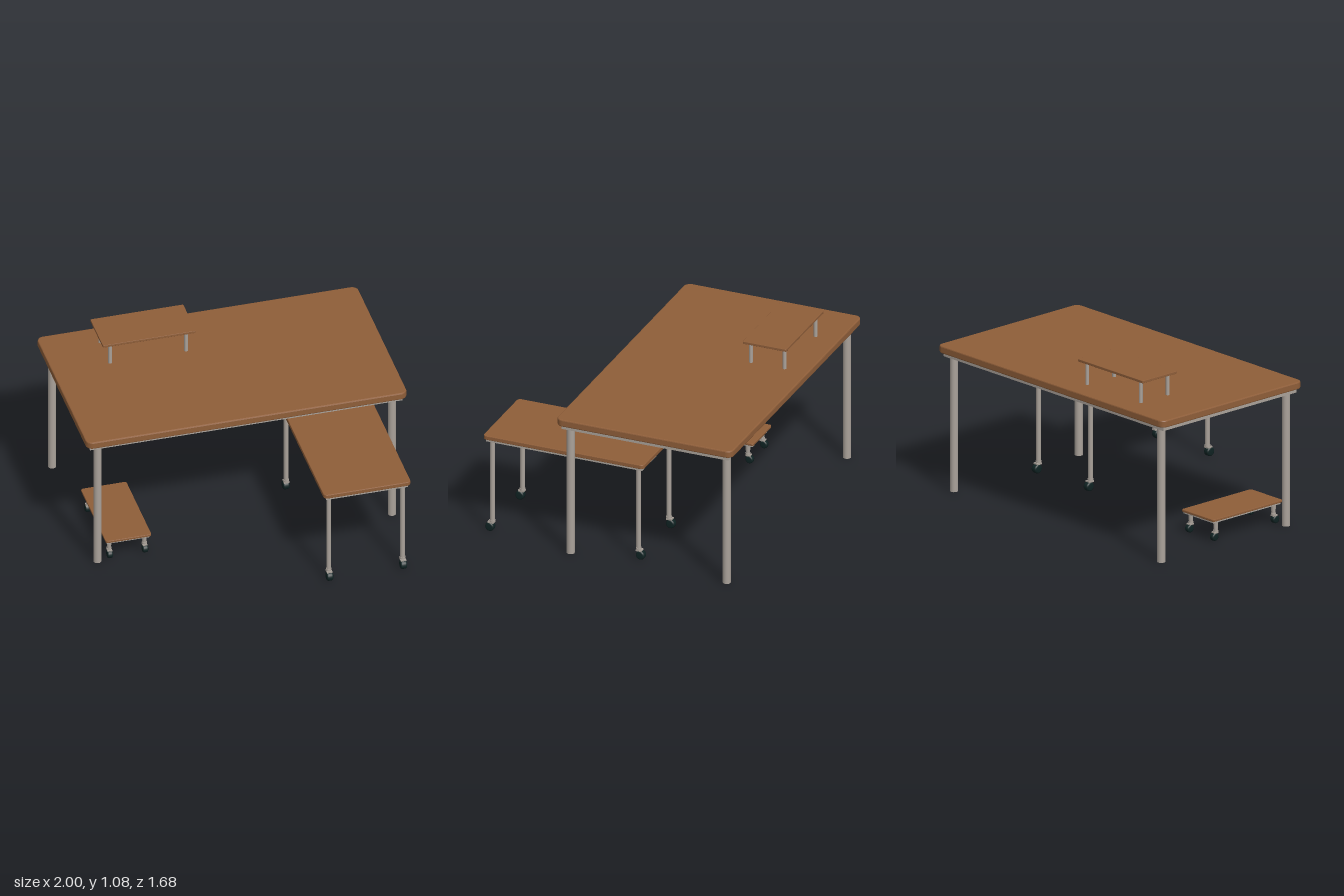
import * as THREE from 'three';

const material = (color) => new THREE.MeshStandardMaterial({ color });

export function createModel() {
  const wood = material(0x8f5e39), metal = material(0xaaa29a);
  const dark = material(0x5c5b57), rubber = material(0x0f2222);
  const model = new THREE.Group();

  function add(parent, name, geometry, mat, x, y, z) {
    const mesh = new THREE.Mesh(geometry, mat);
    mesh.name = name;
    mesh.position.set(x, y, z);
    parent.add(mesh);
    return mesh;
  }

  // Flat board with rounded corners and softened edges, resting on y
  function board(parent, name, w, d, y, h, radius, bevel) {
    const a = w / 2 - bevel, b = d / 2 - bevel, r = radius;
    const s = new THREE.Shape();
    s.moveTo(-a + r, -b);
    s.lineTo(a - r, -b).absarc(a - r, -b + r, r, -Math.PI / 2, 0);
    s.lineTo(a, b - r).absarc(a - r, b - r, r, 0, Math.PI / 2);
    s.lineTo(-a + r, b).absarc(-a + r, b - r, r, Math.PI / 2, Math.PI);
    s.lineTo(-a, -b + r).absarc(-a + r, -b + r, r, Math.PI, Math.PI * 1.5);
    const g = new THREE.ExtrudeGeometry(s, {
      depth: h - 2 * bevel, bevelEnabled: true, bevelSize: bevel,
      bevelThickness: bevel, bevelSegments: 2, curveSegments: 6,
    });
    g.rotateX(-Math.PI / 2);
    add(parent, name, g, wood, 0, y + bevel, 0);
  }

  // Four rails hanging below a board, with a dark panel between them
  function frame(parent, w, d, y, h, bar) {
    for (const s of [-1, 1]) {
      add(parent, 'longRail', new THREE.BoxGeometry(w, h, bar), metal, 0, y + h / 2, s * (d - bar) / 2);
      add(parent, 'sideRail', new THREE.BoxGeometry(bar, h, d - 2 * bar), metal, s * (w - bar) / 2, y + h / 2, 0);
    }
    add(parent, 'underPanel', new THREE.BoxGeometry(w - 2 * bar, h * 0.3, d - 2 * bar), dark, 0, y + h * 0.85, 0);
  }

  // Calls back for each of the four corners
  function corners(dx, dz, fn) {
    for (const sx of [-1, 1]) for (const sz of [-1, 1]) fn(sx * dx, sz * dz, sz);
  }

  const tube = (r, h) => new THREE.CylinderGeometry(r, r, h, 16);

  // Castor: collar, fork bridge and a rounded wheel trailing outward
  function castor(parent, x, z, out, r, width) {
    const g = new THREE.Group();
    g.name = 'castor';
    g.position.set(x, 0, z);
    parent.add(g);
    const k = r * 0.35, a = width / 2;
    add(g, 'collar', tube(r * 0.62, r * 0.4), metal, 0, r * 2.4, 0);
    add(g, 'forkBridge', new THREE.BoxGeometry(width * 0.85, r * 0.35, r * 1.3), metal, 0, r * 2.05, out * r * 0.2);
    const profile = [[0, -a], [r - k, -a], [r - k * 0.3, -a + k * 0.3], [r, -a + k],
      [r, a - k], [r - k * 0.3, a - k * 0.3], [r - k, a], [0, a]];
    const wheel = new THREE.LatheGeometry(profile.map((p) => new THREE.Vector2(...p)), 20);
    wheel.rotateZ(Math.PI / 2);
    add(g, 'wheel', wheel, rubber, 0, r, out * r * 0.5);
  }

  function part(name, x, z) {
    const g = new THREE.Group();
    g.name = name;
    g.position.set(x, 0, z);
    model.add(g);
    return g;
  }

  // Main desk
  const desk = part('desk', 0, -0.265);
  board(desk, 'deskTop', 2, 1.15, 0.875, 0.046, 0.035, 0.007);
  frame(desk, 1.95, 1.09, 0.848, 0.027, 0.045);
  corners(0.918, 0.51, (x, z) => add(desk, 'deskLeg', tube(0.025, 0.85), metal, x, 0.425, z));

  // Small raised shelf on the desk
  const shelf = part('shelf', -0.405, -0.578);
  board(shelf, 'shelfTop', 0.58, 0.286, 1.061, 0.016, 0.006, 0.002);
  corners(0.237, 0.11, (x, z) => add(shelf, 'shelfLeg', tube(0.012, 0.142), metal, x, 0.991, z));

  // Rolling side table
  const side = part('sideTable', 0.602, 0.315);
  board(side, 'sideTableTop', 0.543, 1.05, 0.622, 0.027, 0.02, 0.004);
  frame(side, 0.51, 1.02, 0.604, 0.018, 0.03);
  corners(0.23, 0.478, (x, z, out) => {
    add(side, 'sideTableLeg', tube(0.015, 0.54), metal, x, 0.34, z);
    castor(side, x, z, out, 0.029, 0.04);
  });

  // Low trolley
  const trolley = part('trolley', -0.728, -0.02);
  board(trolley, 'trolleyTop', 0.285, 0.57, 0.131, 0.015, 0.012, 0.003);
  frame(trolley, 0.265, 0.55, 0.12, 0.011, 0.018);
  corners(0.11, 0.236, (x, z, out) => {
    add(trolley, 'trolleyLeg', new THREE.CylinderGeometry(0.016, 0.012, 0.065, 16), metal, x, 0.09, z);
    castor(trolley, x, z, out, 0.025, 0.034);
  });

  return model;
}
